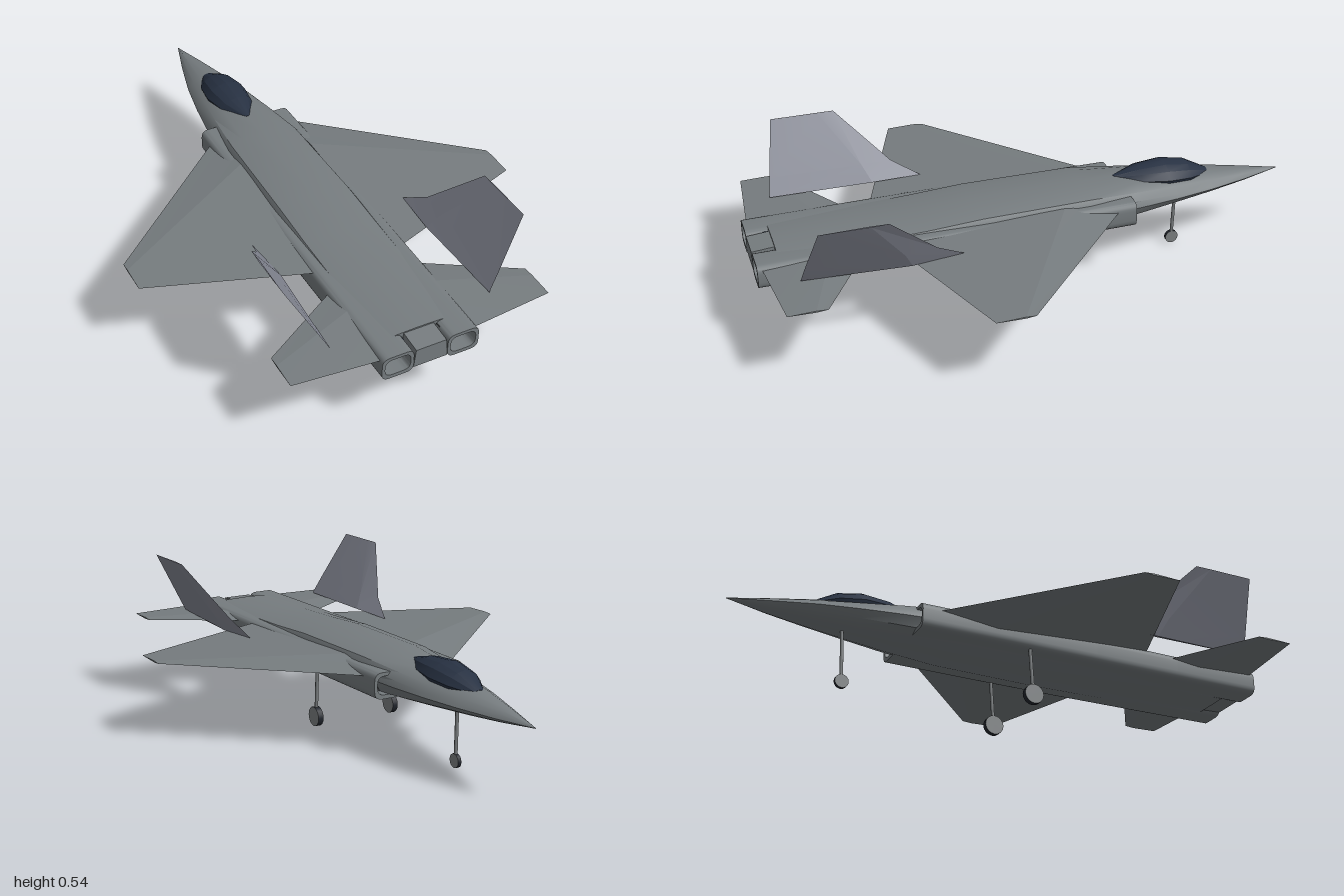
import * as THREE from 'three';
import { toCreasedNormals } from 'three/addons/utils/BufferGeometryUtils.js';

const mat = (name, color) => {
  const m = new THREE.MeshStandardMaterial({ color });
  m.name = name;
  return m;
};

// Skin closed rings of [x, y, z] points, cap both ends, and turn faces outward
function loft(rings, crease = 0.1) {
  const n = rings[0].length, tris = [];
  for (let r = 0; r < rings.length - 1; r++) {
    for (let i = 0; i < n; i++) {
      const j = (i + 1) % n;
      const a = rings[r][i], b = rings[r][j], c = rings[r + 1][j], d = rings[r + 1][i];
      tris.push([a, b, c], [a, c, d]);
    }
  }
  const first = rings[0], last = rings[rings.length - 1];
  for (let i = 1; i < n - 1; i++) {
    tris.push([first[0], first[i + 1], first[i]], [last[0], last[i], last[i + 1]]);
  }
  let volume = 0;
  for (const [a, b, c] of tris) {
    volume += new THREE.Vector3(...a).dot(new THREE.Vector3(...b).cross(new THREE.Vector3(...c)));
  }
  if (volume < 0) tris.forEach((t) => t.reverse());
  const g = new THREE.BufferGeometry();
  g.setAttribute('position', new THREE.Float32BufferAttribute(tris.flat(2), 3));
  return toCreasedNormals(g, crease);
}

// Mirror half a section (listed from top centre to bottom centre) into a full ring
const mirrorRing = (half) => [...half, ...half.slice(1, -1).reverse().map(([x, y, z]) => [-x, y, z])];

// Rounded rectangle added to a shape or path
function roundedRect(p, x0, y0, x1, y1, r) {
  p.moveTo(x0 + r, y0);
  p.lineTo(x1 - r, y0);
  p.quadraticCurveTo(x1, y0, x1, y0 + r);
  p.lineTo(x1, y1 - r);
  p.quadraticCurveTo(x1, y1, x1 - r, y1);
  p.lineTo(x0 + r, y1);
  p.quadraticCurveTo(x0, y1, x0, y1 - r);
  p.lineTo(x0, y0 + r);
  p.quadraticCurveTo(x0, y0, x0 + r, y0);
  return p;
}

export function createModel() {
  const grey = mat('hullGrey', 0x767c7f);
  const finGrey = mat('finGrey', 0x858894);
  const glass = mat('canopyGlass', 0x273142);
  const dark = mat('ductDark', 0x3a3b3d);
  const rubber = mat('tyreRubber', 0x22262e);
  const metal = mat('gearMetal', 0x7c8082);

  const model = new THREE.Group();
  const add = (name, geometry, material, parent = model) => {
    const m = new THREE.Mesh(geometry, material);
    m.name = name;
    parent.add(m);
    return m;
  };

  // Fuselage: the section goes from a soft diamond at the nose to a flat box
  const noseSection = [[0, 1], [0.4, 0.93], [0.72, 0.74], [0.93, 0.52], [1, 0.42], [0.8, 0.2], [0.45, 0.03], [0, 0]];
  const boxSection = [[0, 1], [0.55, 0.98], [0.86, 0.9], [0.96, 0.72], [1, 0.45], [0.93, 0.12], [0.65, 0.01], [0, 0]];
  const stations = [ // z, half width, bottom, top, boxiness
    [-1, 0.001, 0.249, 0.251, 0], [-0.85, 0.047, 0.232, 0.276, 0], [-0.7, 0.087, 0.219, 0.3, 0],
    [-0.55, 0.115, 0.209, 0.315, 0.2], [-0.4, 0.136, 0.202, 0.325, 0.5], [-0.2, 0.153, 0.197, 0.333, 0.9],
    [0.2, 0.157, 0.196, 0.329, 1], [0.4, 0.157, 0.199, 0.316, 1], [0.6, 0.155, 0.204, 0.308, 1],
    [0.92, 0.15, 0.211, 0.3, 1],
  ];
  const hullRings = stations.map(([z, w, bottom, top, k]) => mirrorRing(noseSection.map(([x, y], i) => [
    w * THREE.MathUtils.lerp(x, boxSection[i][0], k),
    bottom + (top - bottom) * THREE.MathUtils.lerp(y, boxSection[i][1], k), z])));
  add('fuselage', loft(hullRings, 0.5), grey);

  // Tail block between the nozzles
  add('tailBlock', loft([[0.88, 0.215, 0.298], [1, 0.22, 0.288]].map(([z, b, t]) =>
    [[-0.062, b, z], [0.062, b, z], [0.055, t, z], [-0.055, t, z]])), grey);

  // Canopy
  const canopyRings = [ // z, half width, base, top
    [-0.705, 0.022, 0.285, 0.3], [-0.62, 0.066, 0.285, 0.345], [-0.53, 0.079, 0.29, 0.361],
    [-0.43, 0.063, 0.3, 0.353], [-0.335, 0.014, 0.31, 0.329],
  ].map(([z, w, base, top]) => mirrorRing([[0, 1], [0.4, 0.92], [0.75, 0.7], [1, 0.3], [0.9, 0], [0, 0]]
    .map(([x, y]) => [x * w, base + (top - base) * y, z])));
  add('canopy', loft(canopyRings, 0.35), glass);

  for (const s of [1, -1]) {
    const side = s > 0 ? 'left' : 'right';
    const mirrored = (rings) => rings.map((r) => r.map(([x, y, z]) => [s * x, y, z]));

    // Engine duct: hollow from intake to nozzle
    const centre = s * 0.119;
    const shape = roundedRect(new THREE.Shape(), centre - 0.063, 0.204, centre + 0.063, 0.3, 0.03);
    shape.holes.push(roundedRect(new THREE.Path(), centre - 0.051, 0.219, centre + 0.051, 0.287, 0.028));
    const duct = new THREE.ExtrudeGeometry(shape, { depth: 1.36, steps: 4, bevelEnabled: false, curveSegments: 5 });
    duct.translate(0, 0, -0.36);
    const p = duct.attributes.position;
    for (let i = 0; i < p.count; i++) { // narrow slightly towards both ends
      const z = p.getZ(i);
      const k = z > 0.4 ? 1 - 0.09 * (z - 0.4) / 0.6 : z < -0.1 ? 0.97 : 1;
      p.setX(i, centre + (p.getX(i) - centre) * k);
      p.setY(i, 0.252 + (p.getY(i) - 0.252) * k);
    }
    add(side + 'EngineDuct', toCreasedNormals(duct, 0.5), [grey, grey]);
    add(side + 'NozzleCore', new THREE.BoxGeometry(0.104, 0.07, 0.02).translate(s * 0.117, 0.253, 0.93), s > 0 ? dark : glass);
    add(side + 'IntakeCore', new THREE.BoxGeometry(0.104, 0.072, 0.02).translate(centre, 0.253, -0.3), dark);

    // Wing: diamond section with a ridge behind the leading edge
    add(side + 'Wing', loft(mirrored([
      [[0.14, 0.275, -0.325], [0.14, 0.307, -0.1], [0.14, 0.29, 0.545], [0.14, 0.249, -0.1]],
      [[0.716, 0.282, 0.2], [0.716, 0.285, 0.235], [0.716, 0.282, 0.335], [0.716, 0.279, 0.235]],
    ])), grey);

    // Tailplane
    add(side + 'Tailplane', loft(mirrored([
      [[0.14, 0.28, 0.615], [0.14, 0.295, 0.74], [0.14, 0.28, 0.985], [0.14, 0.266, 0.74]],
      [[0.472, 0.281, 0.82], [0.472, 0.284, 0.86], [0.472, 0.281, 0.955], [0.472, 0.278, 0.86]],
    ])), grey);

    // Canted fin with a swept root extension
    const finRing = (x, y, z0, zr, z1, t) => [[x, y, z0], [x + t, y - t * 0.4, zr], [x, y, z1], [x - t, y + t * 0.4, zr]];
    add(side + 'Fin', loft(mirrored([
      finRing(0.293, 0.292, 0.315, 0.5, 0.876, 0.015),
      finRing(0.327, 0.353, 0.418, 0.53, 0.866, 0.011),
      finRing(0.43, 0.535, 0.6, 0.66, 0.83, 0.002),
    ])), finGrey);
  }

  // Landing gear: leg, axle and wheel
  const gear = (name, x, z, r, width, lean) => {
    const g = new THREE.Group();
    g.name = name;
    model.add(g);
    const leg = new THREE.CatmullRomCurve3([new THREE.Vector3(x, 0.225, z + lean), new THREE.Vector3(x, r, z)]);
    add('leg', new THREE.TubeGeometry(leg, 1, 0.0065, 8), metal, g);
    const wheel = new THREE.CylinderGeometry(r, r, width, 16).rotateZ(Math.PI / 2).translate(x, r, z);
    add('wheel', wheel, [rubber, metal, metal], g);
  };
  gear('noseGear', 0, -0.58, 0.025, 0.013, -0.006);
  gear('leftMainGear', 0.16, 0.07, 0.036, 0.021, -0.012);
  gear('rightMainGear', -0.16, 0.07, 0.036, 0.021, -0.012);

  return model;
}
